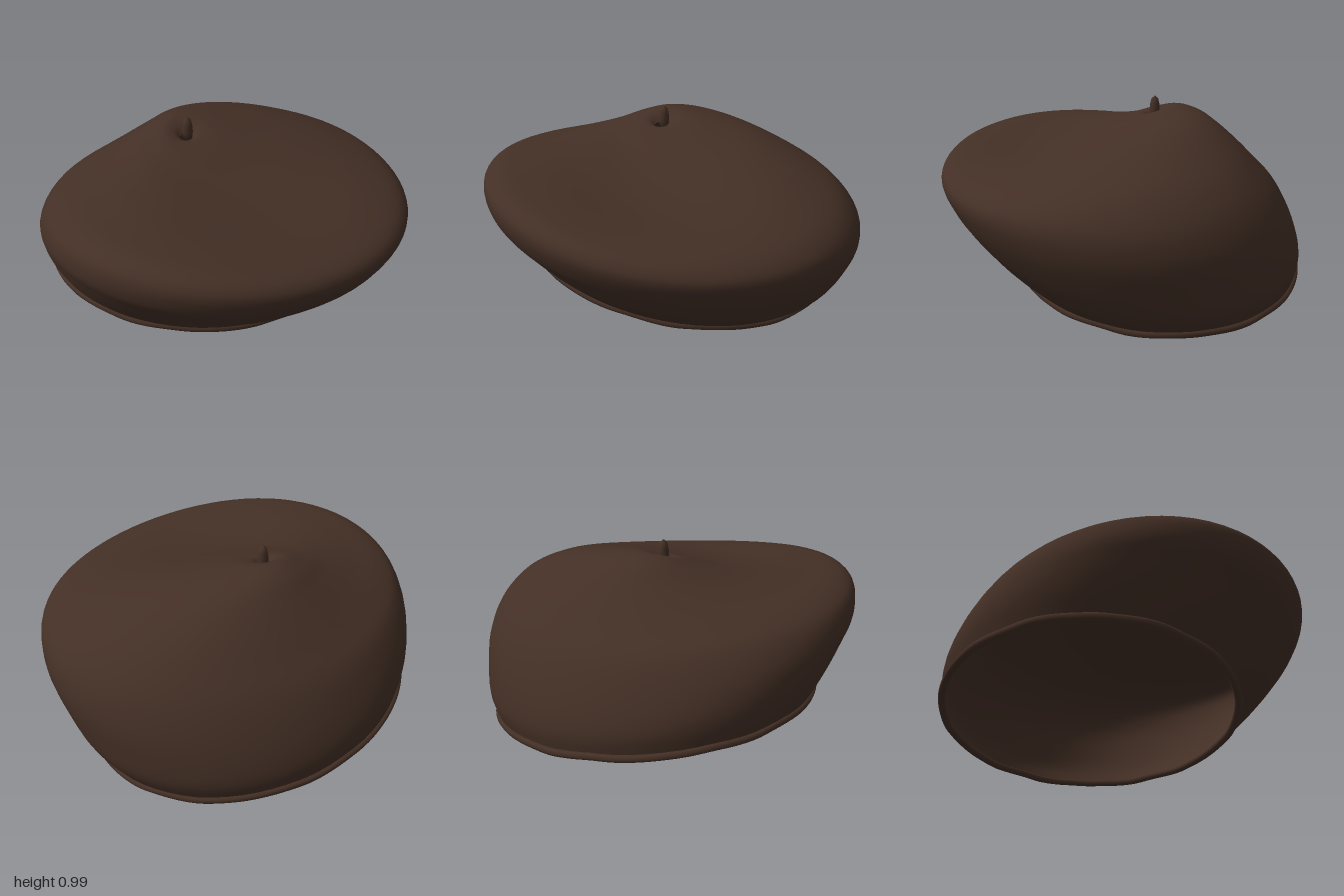
import * as THREE from 'three';

// Each loop: [x, y] at right, left; [z, y] at front, back; then a front-left lift
const LOOPS = [
  [-0.945, 0.15, 0.585, 0.145, 0.88, 0.285, -0.845, 0.025, 0],
  [-0.955, 0.24, 0.70, 0.25, 0.935, 0.41, -0.92, 0.13, 0],
  [-0.94, 0.32, 0.83, 0.39, 0.975, 0.53, -0.965, 0.26, 0],
  [-0.88, 0.46, 0.92, 0.51, 1.0, 0.64, -1.0, 0.43, 0],
  [-0.80, 0.59, 0.965, 0.63, 0.97, 0.75, -0.97, 0.57, 0.01],
  [-0.70, 0.69, 0.93, 0.69, 0.89, 0.80, -0.87, 0.68, 0.02],
  [-0.60, 0.785, 0.80, 0.72, 0.72, 0.82, -0.70, 0.76, 0.02],
  [-0.50, 0.87, 0.50, 0.74, 0.50, 0.84, -0.46, 0.84, 0.01],
  [-0.42, 0.925, 0.20, 0.80, 0.34, 0.87, -0.25, 0.89, 0],
  [-0.31, 0.95, -0.02, 0.87, 0.22, 0.905, -0.02, 0.92, 0],
  [-0.245, 0.925, -0.12, 0.895, 0.17, 0.905, 0.045, 0.91, 0],
  [-0.21, 0.89, -0.145, 0.885, 0.145, 0.885, 0.08, 0.885, 0],
];

// Point on one loop at angle t, measured from left (+x) towards the front (+z)
function loopPoint([rx, ry, lx, ly, fz, fy, bz, by, lift], t) {
  const c = Math.cos(t), s = Math.sin(t);
  return new THREE.Vector3(
    (lx + rx) / 2 + c * (lx - rx) / 2,
    (ly + ry + fy + by) / 4 + c * (ly - ry) / 2 + s * (fy - by) / 2
      + Math.cos(2 * t) * (ly + ry - fy - by) / 4 + Math.sin(2 * t) * lift,
    (fz + bz) / 2 + s * (fz - bz) / 2
  );
}

// Smooth felt shell lofted through the loops
function shellGeometry(around, up) {
  const pos = [], index = [];
  for (let i = 0; i < around; i++) {
    const t = i / around * Math.PI * 2;
    const curve = new THREE.CatmullRomCurve3(LOOPS.map(l => loopPoint(l, t)));
    for (let j = 0; j <= up; j++) pos.push(...curve.getPoint(j / up).toArray());
  }
  const row = up + 1;
  for (let i = 0; i < around; i++) {
    for (let j = 0; j < up; j++) {
      const a = i * row + j, b = ((i + 1) % around) * row + j;
      index.push(a, a + 1, b, b, a + 1, b + 1);
    }
  }
  const g = new THREE.BufferGeometry();
  g.setAttribute('position', new THREE.Float32BufferAttribute(pos, 3));
  g.setIndex(index);
  g.computeVertexNormals();
  return g;
}

export function createModel() {
  const group = new THREE.Group();
  group.name = 'beret';
  const felt = new THREE.MeshStandardMaterial({ color: 0x432f25, side: THREE.DoubleSide });
  felt.name = 'dark brown felt';
  const add = (name, geometry) => {
    const mesh = new THREE.Mesh(geometry, felt);
    mesh.name = name;
    group.add(mesh);
    return mesh;
  };

  add('crown', shellGeometry(72, 55));

  // Rolled hem, slightly uneven like soft cloth
  const hem = [];
  for (let i = 0; i < 48; i++) {
    const t = i / 48 * Math.PI * 2;
    const p = loopPoint(LOOPS[0], t);
    p.y += 0.003 * Math.sin(11 * t) + 0.002 * Math.sin(17 * t);
    hem.push(p);
  }
  add('hem', new THREE.TubeGeometry(new THREE.CatmullRomCurve3(hem, true), 120, 0.02, 8, true));

  // Little stalk standing in the dimple
  const profile = [[0, 0.87], [0.026, 0.875], [0.029, 0.91], [0.026, 0.95], [0.019, 0.978], [0, 0.995]];
  const stalk = add('stalk', new THREE.LatheGeometry(profile.map(p => new THREE.Vector2(...p)), 12));
  stalk.position.set(-0.19, 0, 0.095);

  return group;
}
